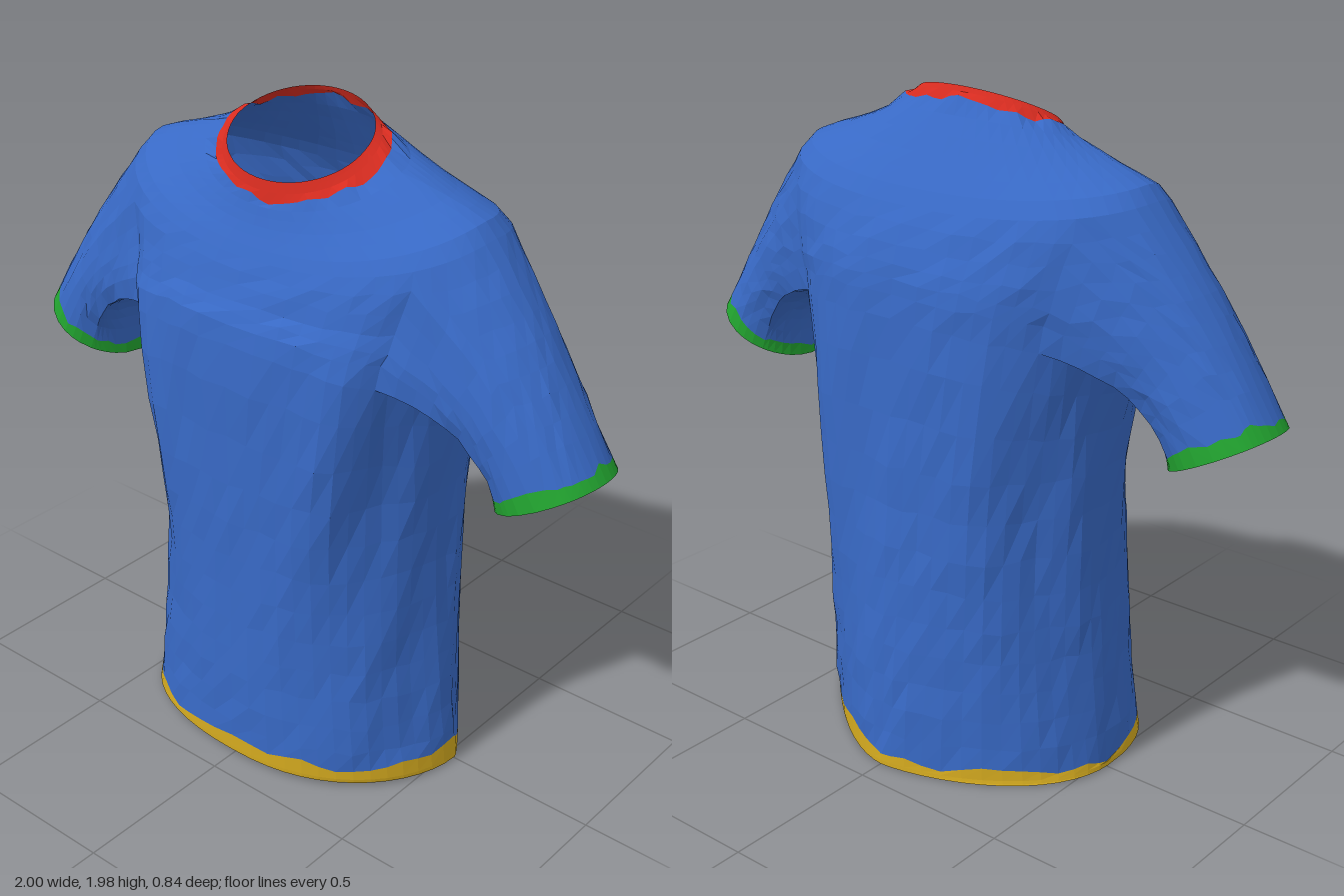
import * as THREE from 'three';

const N = 56;      // columns round the torso
const SUB = 3;     // rows between two key sections
const HALF = 6;    // armhole half-width in columns
const PIT = 5 * SUB, SHOULDER = 7 * SUB;

// Key sections: y front, y side, y back, half width, z front, z back, z centre,
// squareness front, squareness back, steepness of the rise from side to middle
const SECTIONS = [
  [0.02, 0.01, 0.005, 0.53, 0.42, -0.42, 0, 2.27, 1.55, 1.5],
  [0.065, 0.055, 0.05, 0.525, 0.42, -0.418, 0, 2.27, 1.55, 1.5],
  [0.3, 0.3, 0.3, 0.495, 0.415, -0.4, 0, 2.2, 1.7, 1.5],
  [0.6, 0.6, 0.6, 0.478, 0.41, -0.38, 0, 2.1, 1.85, 1.5],
  [0.95, 0.95, 0.95, 0.485, 0.41, -0.365, 0.01, 2.05, 2.0, 1.2],
  [1.38, 1.27, 1.38, 0.515, 0.405, -0.35, 0.03, 2.7, 2.5, 0.8],
  [1.5, 1.5, 1.53, 0.565, 0.365, -0.33, 0.03, 2.5, 2.5, 1.2],
  [1.61, 1.735, 1.68, 0.61, 0.32, -0.27, 0.03, 2.3, 2.3, 1.5],
  [1.69, 1.815, 1.81, 0.46, 0.28, -0.185, 0.04, 2, 2, 1.4],
  [1.76, 1.872, 1.945, 0.275, 0.255, -0.09, 0.08, 2, 2, 1],
  [1.81, 1.9, 1.98, 0.225, 0.245, -0.07, 0.09, 2, 2, 1],
];

const wrap = (j, n) => ((j % n) + n) % n;
const bell = (x) => Math.exp(-x * x);

// Repeatable noise in -1..1
function noise(i, j) {
  const s = Math.sin(i * 127.1 + j * 311.7) * 43758.5453;
  return (s - Math.floor(s)) * 2 - 1;
}

// Irregular edge for the coloured trims
const wave = (a, seed) =>
  0.5 * Math.sin(a * 5 + seed) + 0.35 * Math.sin(a * 11 + 2 * seed) + 0.25 * Math.sin(a * 17 + seed);

// Smooth interpolation through the key sections
function section(row) {
  const i = Math.min(Math.floor(row / SUB), SECTIONS.length - 2);
  const t = row / SUB - i;
  const key = (k) => SECTIONS[THREE.MathUtils.clamp(k, 0, SECTIONS.length - 1)];
  return key(i).map((p1, f) => {
    const p0 = key(i - 1)[f], p2 = key(i + 1)[f], p3 = key(i + 2)[f];
    const m1 = (p2 - p0) / 2, m2 = (p3 - p1) / 2;
    return (2 * t ** 3 - 3 * t * t + 1) * p1 + (t ** 3 - 2 * t * t + t) * m1
      + (3 * t * t - 2 * t ** 3) * p2 + (t ** 3 - t * t) * m2;
  });
}

function torsoRings() {
  const last = (SECTIONS.length - 1) * SUB;
  return Array.from({ length: last + 1 }, (_, r) => {
    const [yf, ys, yb, w, zf, zb, zc, nf, nb, rise] = section(r);
    const skew = 0.3 * Math.max(0, 1 - r / (4 * SUB));   // hem hangs fuller on one side
    return Array.from({ length: N }, (_, j) => {
      const a = (j / N) * Math.PI * 2, c = Math.cos(a), s = Math.sin(a);
      const front = s >= 0, n = (front ? nf : nb) - skew * c;
      let x = w * Math.sign(c) * Math.abs(c) ** (2 / n);
      let y = ys + ((front ? yf : yb) - ys) * Math.abs(s) ** rise;
      let z = zc + ((front ? zf : zb) - zc) * Math.abs(s) ** (2 / n);
      if (r === SUB) y += 0.02 * wave(a, 1) + 0.014 * c;
      if (r === last - SUB) y += 0.014 * wave(a, 4);
      // Drape folds, and flat front and back panels with an edge below each armpit
      if (r > SUB && r < SHOULDER) {
        const fold = Math.sin(Math.PI * r / SHOULDER) * (front ? Math.abs(c) : 0.8);
        const fromSide = Math.asin(Math.abs(s));
        const edge = (front ? 0.04 : 0.025) * bell((fromSide - 0.95) / 0.22)
          - 0.012 * bell((fromSide - 0.45) / 0.2);
        const d = 0.009 * fold * Math.sin(a * 9 + y * 5 * Math.sign(c)) + 0.004 * noise(r, j)
          + edge * bell((y - 1.0) / 0.4);
        x += d * c;
        z += d * s;
        y += 0.006 * noise(j, r);
      }
      return new THREE.Vector3(x, y, z);
    });
  });
}

// Rim of one armhole: underarm, front edge, shoulder, back edge
function armhole(rings, side) {
  const col = (k) => wrap(side > 0 ? k : N / 2 - k, N);
  const rim = [];
  for (let k = -HALF; k < HALF; k++) rim.push(rings[PIT][col(k)]);
  for (let r = PIT; r < SHOULDER; r++) rim.push(rings[r][col(HALF)]);
  for (let k = HALF; k > -HALF; k--) rim.push(rings[SHOULDER][col(k)]);
  for (let r = SHOULDER; r > PIT; r--) rim.push(rings[r][col(-HALF)]);
  return rim;
}

// Sleeve rings run from the armhole rim to a slanted oval cuff
function sleeveRings(rim, side) {
  const steps = 10;
  return Array.from({ length: steps + 1 }, (_, i) => rim.map((p, j) => {
    if (i === 0) return p.clone();
    const phi = Math.atan2((p.y - 1.5) / 0.23, (p.z - 0.03) / 0.25);
    const up = Math.sin(phi), fwd = Math.cos(phi);
    const cuff = new THREE.Vector3(side * (0.85 + 0.15 * up), 1.095 + 0.075 * up, 0.05 + 0.175 * fwd);
    let t = i / steps;
    if (i === steps - 1) t = 0.915 + 0.025 * wave(phi, side + 2) + 0.03 * Math.max(up, 0) ** 2;
    const q = p.clone().lerp(cuff, t);
    q.z = THREE.MathUtils.lerp(p.z, cuff.z, 1 - (1 - t) ** 2);
    const bulge = Math.sin(Math.PI * t), low = 0.5 - 0.5 * up;
    q.x += side * bulge * (0.012 + 0.05 * low);
    q.y += bulge * (0.008 + 0.045 * low);
    if (i < steps - 1) {
      q.y += 0.004 * noise(i, j + 9);
      q.z += 0.004 * noise(j, i + 5);
    }
    return q;
  }));
}

// Closed skin over rings from..to, leaving out cells where skip is true
function skin(name, rings, from, to, material, { flip = false, skip = () => false } = {}) {
  const n = rings[0].length, pos = [], idx = [];
  for (let r = from; r <= to; r++) rings[r].forEach((p) => pos.push(p.x, p.y, p.z));
  for (let r = from; r < to; r++) {
    for (let j = 0; j < n; j++) {
      if (skip(r, j)) continue;
      const a = (r - from) * n + j, b = (r - from) * n + (j + 1) % n;
      const tris = [[a, a + n, b], [b, a + n, b + n]];
      tris.forEach(([u, v, w]) => (flip ? idx.push(u, w, v) : idx.push(u, v, w)));
    }
  }
  const geo = new THREE.BufferGeometry();
  geo.setAttribute('position', new THREE.Float32BufferAttribute(pos, 3));
  geo.setIndex(idx);
  geo.computeVertexNormals();
  const mesh = new THREE.Mesh(geo, material);
  mesh.name = name;
  return mesh;
}

function fabric(name, color) {
  const m = new THREE.MeshStandardMaterial({ color, side: THREE.DoubleSide, flatShading: true });
  m.name = name;
  return m;
}

export function createModel() {
  const blue = fabric('blue fabric', 0x3869c5);
  const red = fabric('red collar', 0xd82c20);
  const green = fabric('green cuff', 0x22a530);
  const yellow = fabric('yellow hem', 0xd4aa1f);
  const shirt = new THREE.Group();
  shirt.name = 'tShirt';

  // Torso with armholes, hem and collar
  const rings = torsoRings(), top = rings.length - 1;
  const inArmhole = (r, j) => r >= PIT && r < SHOULDER
    && [0, N / 2].some((c) => wrap(j - c + HALF, N) < 2 * HALF);
  shirt.add(
    skin('hem', rings, 0, SUB, yellow),
    skin('torso', rings, SUB, top - SUB, blue, { skip: inArmhole }),
    skin('collar', rings, top - SUB, top, red),
  );

  // Sleeves and cuffs
  for (const side of [1, -1]) {
    const label = side > 0 ? 'left' : 'right';
    const sleeve = sleeveRings(armhole(rings, side), side), end = sleeve.length - 1;
    const opts = { flip: side < 0 };
    shirt.add(
      skin(label + 'Sleeve', sleeve, 0, end - 1, blue, opts),
      skin(label + 'Cuff', sleeve, end - 1, end, green, opts),
    );
  }
  return shirt;
}
